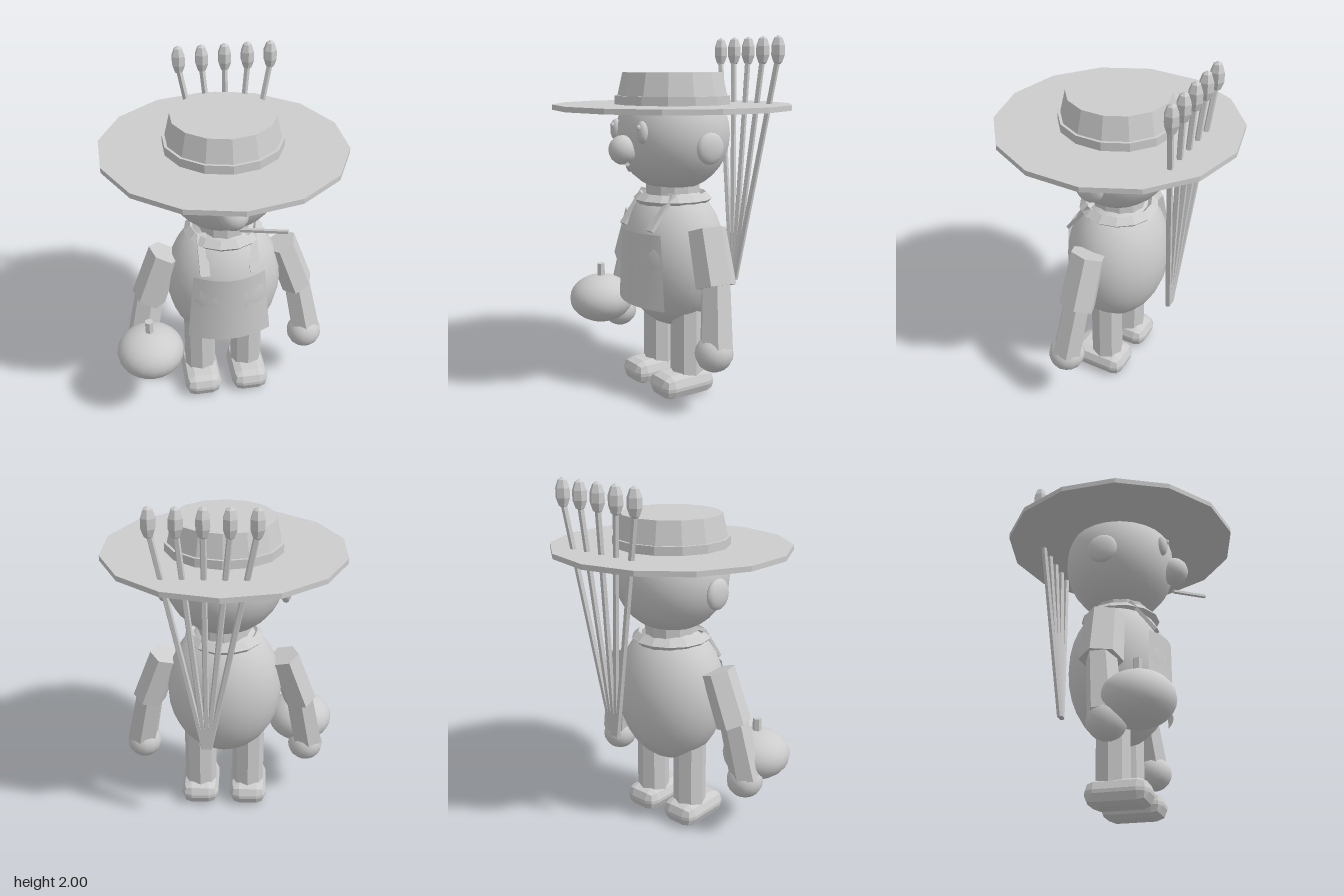
import * as THREE from 'three';
import { RoundedBoxGeometry } from 'three/addons/geometries/RoundedBoxGeometry.js';

const grey = new THREE.MeshStandardMaterial({ color: 0xcccccc });
grey.name = 'plainGrey';
const greyDouble = grey.clone();
greyDouble.side = THREE.DoubleSide;

// Facet a geometry while keeping the single shared material
function faceted(geometry) {
  const g = geometry.index ? geometry.toNonIndexed() : geometry;
  g.computeVertexNormals();
  return g;
}

export function createModel() {
  const model = new THREE.Group();
  model.name = 'scarecrow';

  function add(name, geometry, x = 0, y = 0, z = 0, parent = model, material = grey) {
    const mesh = new THREE.Mesh(geometry, material);
    mesh.name = name;
    mesh.position.set(x, y, z);
    parent.add(mesh);
    return mesh;
  }

  function ball(name, pos, radii, parent = model, w = 20, h = 14) {
    const g = new THREE.SphereGeometry(1, w, h);
    g.scale(...radii);
    return add(name, g, ...pos, parent);
  }

  // Faceted rod running from point a to point b
  function rod(name, a, b, ra, rb, sides, parent = model, widthX = 1) {
    const start = new THREE.Vector3(...a), end = new THREE.Vector3(...b);
    const dir = end.clone().sub(start);
    const g = new THREE.CylinderGeometry(rb, ra, dir.length(), sides);
    g.scale(widthX, 1, 1);
    const mid = start.clone().add(end).multiplyScalar(0.5);
    const mesh = add(name, faceted(g), mid.x, mid.y, mid.z, parent);
    mesh.quaternion.setFromUnitVectors(new THREE.Vector3(0, 1, 0), dir.normalize());
    return mesh;
  }

  // Torso, neck and collar
  ball('body', [0, 0.78, 0], [0.328, 0.41, 0.285], model, 24, 16);
  rod('neck', [0, 1.06, 0], [0, 1.2, 0], 0.15, 0.15, 12);
  const collar = new THREE.TorusGeometry(0.187, 0.036, 4, 14);
  collar.rotateX(Math.PI / 2);
  add('collar', faceted(collar), 0, 1.105, 0);

  // Apron: a thin trapezoid bowed around the belly
  const apron = new THREE.PlaneGeometry(1, 0.415, 8, 1);
  const p = apron.attributes.position;
  for (let i = 0; i < p.count; i++) {
    const u = p.getX(i) * 2;
    const half = p.getY(i) > 0 ? 0.2 : 0.237;
    p.setXYZ(i, u * half, p.getY(i), 0.284 - 0.07 * u * u);
  }
  apron.computeVertexNormals();
  add('apron', apron, 0, 0.7325, 0, model, greyDouble);

  // Head and face
  ball('head', [0, 1.465, 0], [0.328, 0.32, 0.314], model, 24, 16);
  ball('nose', [0, 1.39, 0.322], [0.08, 0.08, 0.08], model, 14, 10);
  rod('strawStalk', [0.04, 1.285, 0.305], [0.26, 1.345, 0.45], 0.012, 0.012, 5);

  // Mirrored parts
  for (const s of [1, -1]) {
    const side = s > 0 ? 'left' : 'right';
    ball(side + 'Ear', [s * 0.335, 1.405, -0.012], [0.035, 0.085, 0.085], model, 14, 10);
    ball(side + 'Eye', [s * 0.136, 1.49, 0.285], [0.037, 0.06, 0.03], model, 12, 10);
    ball(side + 'Pupil', [s * 0.136 + 0.006, 1.515, 0.31], [0.013, 0.016, 0.014], model, 8, 6);

    const strap = add(side + 'Strap', new THREE.BoxGeometry(0.055, 0.24, 0.02), s * 0.138, 1.052, 0.17);
    strap.rotation.x = -0.65;

    const arm = new THREE.Group();
    arm.name = side + 'Arm';
    model.add(arm);
    rod('upperArm', [s * 0.335, 0.975, 0.005], [s * 0.44, 0.685, 0.02], 0.108, 0.115, 6, arm, 0.82);
    rod('forearm', [s * 0.435, 0.71, 0.02], [s * 0.5, 0.37, 0.06], 0.085, 0.095, 6, arm, 0.92);
    ball('hand', [s * 0.49, 0.342, 0.068], [0.103, 0.1, 0.103], arm, 14, 10);

    const leg = new THREE.Group();
    leg.name = side + 'Leg';
    model.add(leg);
    rod('shin', [s * 0.143, 0.1, 0], [s * 0.143, 0.56, 0], 0.094, 0.094, 8, leg);
    const shoe = new RoundedBoxGeometry(0.22, 0.135, 0.34, 1, 0.058);
    add('shoe', faceted(shoe), s * 0.145, 0.0675, 0.035, leg);
  }

  // Wide-brimmed hat
  const hat = new THREE.Group();
  hat.name = 'hat';
  model.add(hat);
  rod('brim', [0, 1.6, 0], [0, 1.628, 0], 0.662, 0.662, 14, hat);
  rod('hatBand', [0, 1.625, 0], [0, 1.675, 0], 0.322, 0.322, 14, hat);
  rod('crown', [0, 1.625, 0], [0, 1.8, 0], 0.318, 0.278, 14, hat);

  // Pumpkin carried beside the right hand
  const pumpkin = new THREE.Group();
  pumpkin.name = 'pumpkin';
  model.add(pumpkin);
  ball('pumpkinBody', [-0.458, 0.447, 0.215], [0.192, 0.143, 0.19], pumpkin);
  rod('pumpkinStem', [-0.458, 0.56, 0.215], [-0.458, 0.66, 0.215], 0.025, 0.025, 6, pumpkin);

  // Fan of reeds behind the back, gathered at the bottom
  const reeds = new THREE.Group();
  reeds.name = 'reeds';
  model.add(reeds);
  for (let i = -2; i <= 2; i++) {
    const topX = 0.085 + i * 0.128;
    rod('reedStem', [0.085 + i * 0.008, 0.595, -0.375], [topX, 1.87, -0.458], 0.017, 0.017, 5, reeds);
    const tip = new THREE.SphereGeometry(1, 6, 5);
    tip.rotateY(Math.PI / 6);
    tip.scale(0.041, 0.082, 0.041);
    add('reedHead', faceted(tip), topX, 1.918, -0.461, reeds);
  }

  return model;
}
